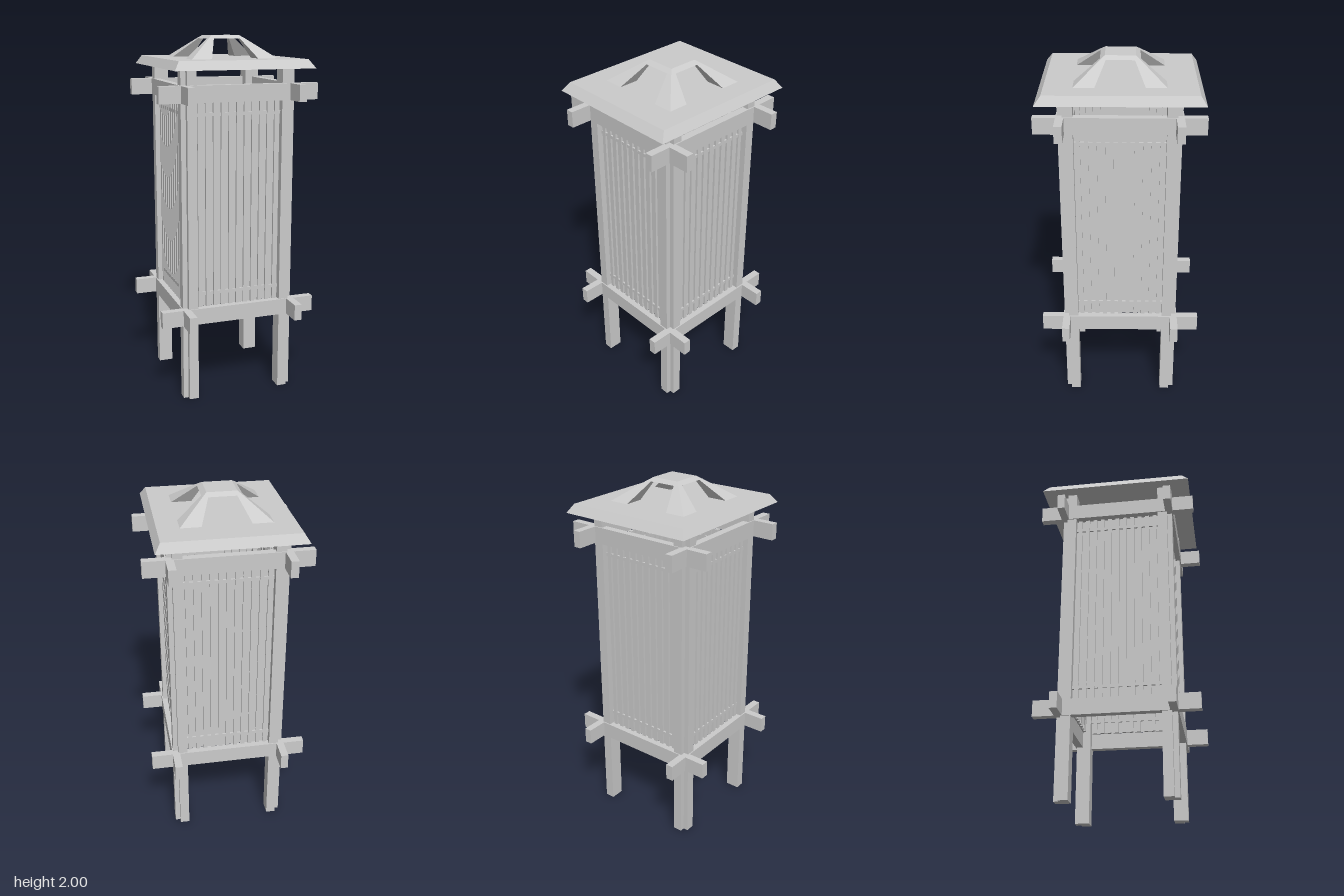
import * as THREE from 'three';

const material = new THREE.MeshStandardMaterial({ color: 0xcccccc, flatShading: true });

function add(parent, name, geometry, x = 0, y = 0, z = 0) {
  const mesh = new THREE.Mesh(geometry, material);
  mesh.name = name;
  mesh.position.set(x, y, z);
  parent.add(mesh);
  return mesh;
}

const box = (w, h, d) => new THREE.BoxGeometry(w, h, d);

// Box whose bottom and top are separate rectangles [x0, x1, z0, z1]
function taperedBox(y0, y1, bottom, top) {
  const geometry = new THREE.BoxGeometry(1, 1, 1).toNonIndexed();
  const p = geometry.attributes.position;
  for (let i = 0; i < p.count; i++) {
    const upper = p.getY(i) > 0;
    const r = upper ? top : bottom;
    p.setXYZ(i, p.getX(i) > 0 ? r[1] : r[0], upper ? y1 : y0, p.getZ(i) > 0 ? r[3] : r[2]);
  }
  geometry.computeVertexNormals();
  return geometry;
}

// Square post with its outer corner notched
function postGeometry() {
  const shape = new THREE.Shape([
    [0.24, 0.24], [0.32, 0.24], [0.32, 0.293], [0.293, 0.293], [0.293, 0.32], [0.24, 0.32],
  ].map(([x, y]) => new THREE.Vector2(x, y)));
  return new THREE.ExtrudeGeometry(shape, { depth: 1.835, bevelEnabled: false }).rotateX(-Math.PI / 2);
}

// Paper screen with vertical slats and two thin rails
function createScreen() {
  const screen = new THREE.Group();
  screen.name = 'screen';
  const bottom = 0.535, top = 1.66, mid = (bottom + top) / 2, z = 0.28;
  add(screen, 'paper', box(0.48, top - bottom, 0.006), 0, mid, z);
  const count = 11, pitch = 0.48 / count;
  for (let i = 0; i < count; i++) {
    add(screen, 'slat', box(0.022, top - bottom, 0.03), (i - (count - 1) / 2) * pitch, mid, z);
  }
  for (const y of [0.61, 1.597]) add(screen, 'rail', box(0.48, 0.018, 0.027), 0, y, z);
  return screen;
}

export function createModel() {
  const lantern = new THREE.Group();
  lantern.name = 'lantern';

  // Four identical sides: a corner post, a screen and two crossing beams
  for (let i = 0; i < 4; i++) {
    const side = new THREE.Group();
    side.name = 'side';
    side.rotation.y = i * Math.PI / 2;
    add(side, 'post', postGeometry());
    side.add(createScreen());
    add(side, 'lowerBeam', box(0.89, 0.09, 0.042), 0, 0.49, 0.305);
    add(side, 'upperBeam', box(0.89, 0.09, 0.042), 0, 1.707, 0.305);
    lantern.add(side);
  }

  // Roof slab with bevelled edges
  add(lantern, 'roof', taperedBox(1.833, 1.88, [-0.385, 0.385, -0.432, 0.426], [-0.355, 0.355, -0.4, 0.39]));

  // Finial: four leaning feet carrying a small cap
  const finial = new THREE.Group();
  finial.name = 'finial';
  for (let i = 0; i < 4; i++) {
    const foot = add(finial, 'finialFoot',
      taperedBox(1.88, 1.982, [0.13, 0.24, 0.13, 0.24], [0.075, 0.106, 0.075, 0.106]));
    foot.rotation.y = i * Math.PI / 2;
  }
  add(finial, 'finialCap',
    taperedBox(1.982, 2, [-0.106, 0.106, -0.106, 0.106], [-0.08, 0.08, -0.08, 0.08]));
  lantern.add(finial);

  return lantern;
}
